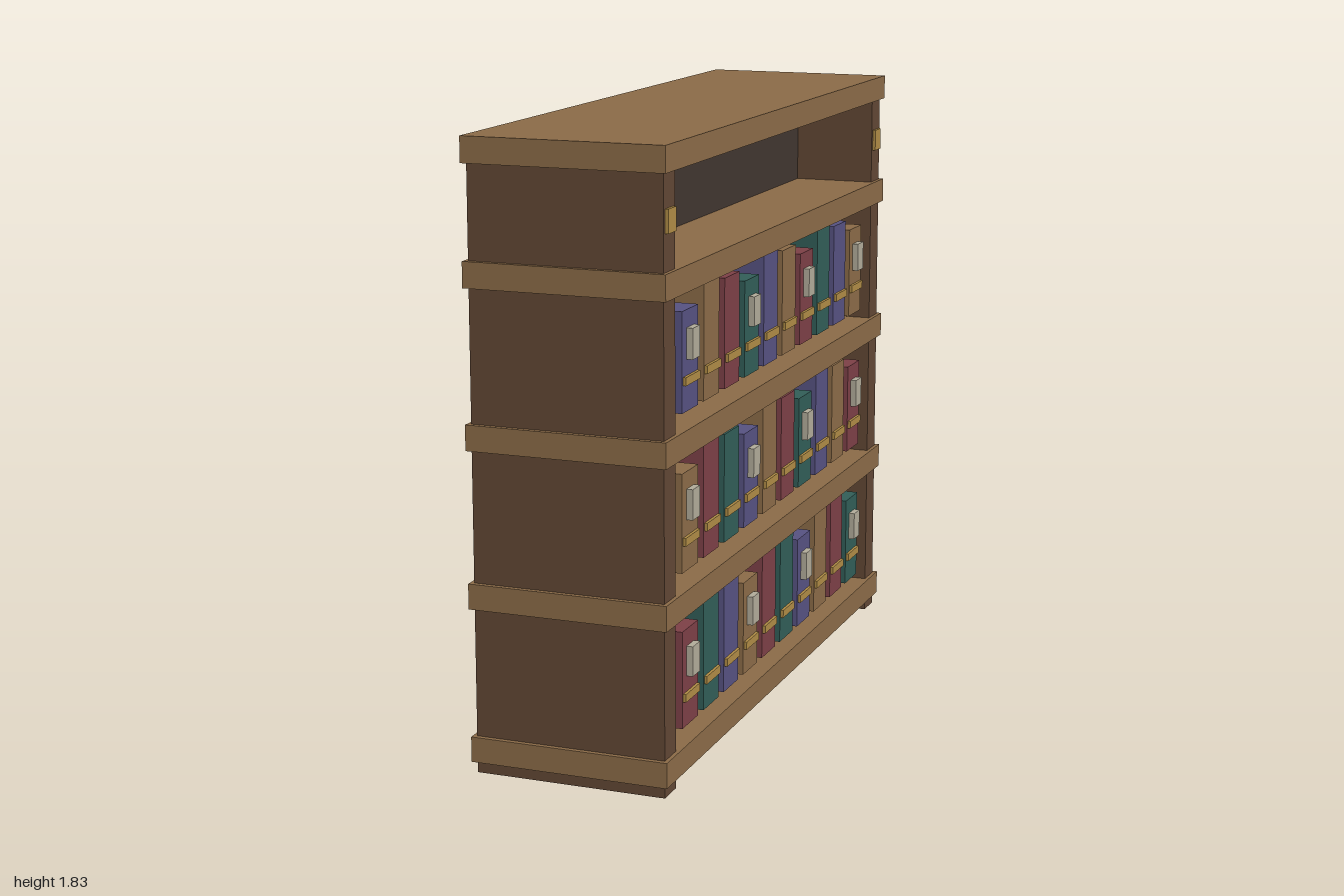
import * as THREE from 'three';

const material = (name, color) => {
  const m = new THREE.MeshStandardMaterial({ color });
  m.name = name;
  return m;
};

export function createModel() {
  const tan = material('tanWood', 0x8a6a47);
  const brown = material('brownWood', 0x604634);
  const dark = material('darkBacking', 0x403530);
  const maroon = material('maroonCover', 0x7c3f46);
  const teal = material('tealCover', 0x315d57);
  const blue = material('blueCover', 0x565180);
  const brass = material('brass', 0xad8a45);
  const paper = material('paperLabel', 0xb0aa98);

  const model = new THREE.Group();
  model.name = 'doubleSidedBookcase';

  // Box given by its lower and upper corners
  const box = (parent, name, mat, [x0, y0, z0], [x1, y1, z1]) => {
    const mesh = new THREE.Mesh(new THREE.BoxGeometry(x1 - x0, y1 - y0, z1 - z0), mat);
    mesh.position.set((x0 + x1) / 2, (y0 + y1) / 2, (z0 + z1) / 2);
    mesh.name = name;
    parent.add(mesh);
  };

  // Carcass: central divider, end panels and shelf boards
  box(model, 'centreDivider', dark, [-0.03, 0.003, -0.9], [0.03, 1.76, 0.9]);
  box(model, 'frontEndPanel', brown, [-0.288, 0, 0.9], [0.288, 1.76, 0.985]);
  box(model, 'backEndPanel', brown, [-0.288, 0, -0.985], [0.288, 1.76, -0.9]);
  for (const y of [0.035, 0.49, 0.95, 1.41, 1.755]) {
    box(model, 'shelfBoard', tan, [-0.3, y, -1], [0.3, y + 0.075, 1]);
  }

  // Brass plates on the left side posts
  for (const z of [-0.942, 0.942]) {
    box(model, 'brassPlate', brass, [0.288, 1.59, z - 0.03], [0.297, 1.657, z + 0.03]);
  }

  // Books: three rows on both sides, covers cycling along each row
  const covers = [maroon, teal, blue, tan];
  const heights = [0.288, 0.345, 0.325];
  const rows = [{ base: 0.14, shift: 0 }, { base: 0.6, shift: 3 }, { base: 1.06, shift: 2 }];
  for (const side of [-1, 1]) {
    // Span from x = a to x = b, mirrored to the chosen side
    const part = (parent, name, mat, a, b, y0, y1, z, half) =>
      box(parent, name, mat,
        [Math.min(side * a, side * b), y0, z - half],
        [Math.max(side * a, side * b), y1, z + half]);

    for (const { base, shift } of rows) {
      const row = new THREE.Group();
      row.name = side > 0 ? 'leftBookRow' : 'rightBookRow';
      model.add(row);
      for (let i = 0; i < 10; i++) {
        const z = 0.74 - i * 0.17;
        const cover = covers[(i + shift) % 4];
        part(row, 'book', cover, 0.03, 0.27, base, base + heights[i % 3], z, 0.0625);
        part(row, 'spineBand', brass, 0.27, 0.279, base + 0.078, base + 0.102, z, 0.056);
        if (i % 3 === 0) {
          part(row, 'spineLabel', paper, 0.27, 0.289, base + 0.148, base + 0.237, z, 0.029);
        }
      }
    }
  }
  return model;
}
